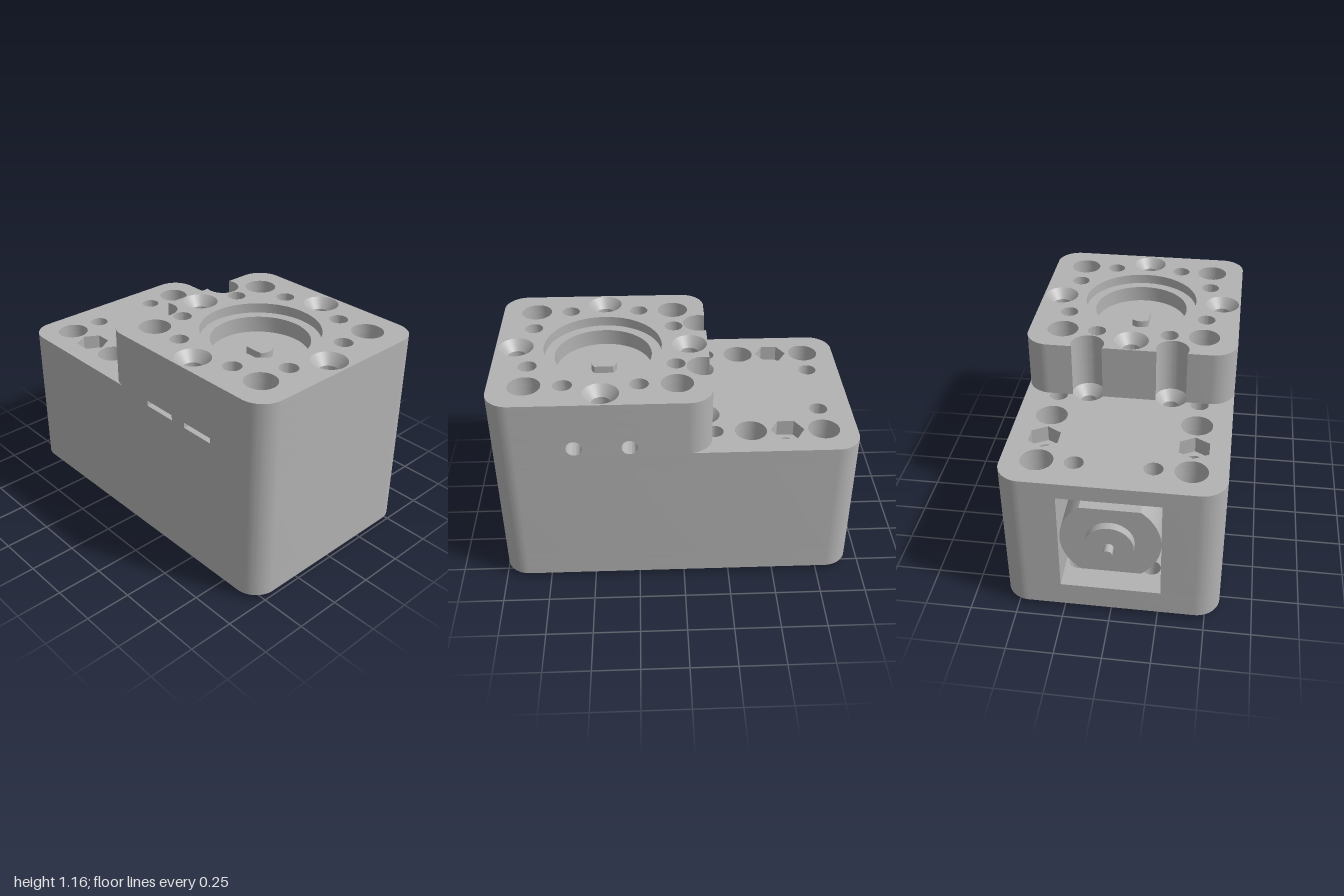
import * as THREE from 'three';
import { toCreasedNormals } from 'three/addons/utils/BufferGeometryUtils.js';

const grey = new THREE.MeshStandardMaterial({ color: 0xb2b2b2, side: THREE.DoubleSide });
grey.name = 'plain grey';

const LEFT = -0.93, RIGHT = 1, HALF = 0.575, CORNER = 0.13, STEP = -0.15;
const BORE_X = 0.42;

function add(group, name, geometry) {
  const mesh = new THREE.Mesh(geometry, grey);
  mesh.name = name;
  group.add(mesh);
  return mesh;
}

// Round or polygonal hole at plan position x, z
function hole(x, z, r, sides = 0) {
  if (!sides) return new THREE.Path().absarc(x, z, r, 0, Math.PI * 2, true);
  const pts = [];
  for (let i = 0; i < sides; i++) {
    const a = -i * Math.PI * 2 / sides;
    pts.push(new THREE.Vector2(x + r * Math.cos(a), z + r * Math.sin(a)));
  }
  return new THREE.Path(pts);
}

const pair = (x, z, r, sides) => [hole(x, z, r, sides), hole(x, -z, r, sides)];
const row = (xs, z, r) => xs.flatMap(x => pair(x, z, r));

// Rounded plan outline; shape y points to the back. Notches are cut from the edges.
function outline(x0, { grooves = false, pocket = false, front = [], back = [] } = {}) {
  const s = new THREE.Shape(), c = CORNER, h = HALF;
  s.moveTo(x0 + c, -h);
  for (const [a, b, depth] of front) {
    s.lineTo(a, -h); s.lineTo(a, -h + depth); s.lineTo(b, -h + depth); s.lineTo(b, -h);
  }
  s.lineTo(RIGHT - c, -h);
  s.absarc(RIGHT - c, -h + c, c, -Math.PI / 2, 0, false);
  s.lineTo(RIGHT, h - c);
  s.absarc(RIGHT - c, h - c, c, 0, Math.PI / 2, false);
  for (const [a, b, depth] of [...back].reverse()) {
    s.lineTo(b, h); s.lineTo(b, h - depth); s.lineTo(a, h - depth); s.lineTo(a, h);
  }
  s.lineTo(x0 + c, h);
  s.absarc(x0 + c, h - c, c, Math.PI / 2, Math.PI, false);
  if (grooves) {
    const a = Math.acos((STEP + 0.115) / 0.09);
    for (const z of [0.23, -0.23]) s.absarc(-0.115, z, 0.09, a, -a, true);
  }
  if (pocket) {
    s.lineTo(x0, 0.265); s.lineTo(-0.4, 0.265); s.lineTo(-0.4, -0.265); s.lineTo(x0, -0.265);
  }
  s.lineTo(x0, -h + c);
  s.absarc(x0 + c, -h + c, c, Math.PI, Math.PI * 1.5, false);
  return s;
}

function extrude(shape, depth) {
  const g = new THREE.ExtrudeGeometry(shape, { depth, bevelEnabled: false, curveSegments: 20 });
  return toCreasedNormals(g, 0.6);
}

function layer(group, name, shape, holes, y0, y1) {
  shape.holes.push(...holes);
  const g = extrude(shape, y1 - y0);
  g.rotateX(-Math.PI / 2);
  add(group, name, g).position.y = y0;
}

// Circle with two parallel flats
function flattened(r, flat) {
  const a = Math.asin(flat / r);
  const s = new THREE.Shape();
  s.absarc(0, 0, r, -a, a, false);
  s.absarc(0, 0, r, Math.PI - a, Math.PI + a, false);
  return s;
}

function countersink(group, x, z, top, rTop, rBottom, depth) {
  const g = new THREE.CylinderGeometry(rTop, rBottom, depth, 40, 1, true);
  add(group, 'countersink', g).position.set(x, top - depth / 2, z);
}

export function createModel() {
  const model = new THREE.Group();
  model.name = 'gearbox';

  // Lower housing, stacked from the underside up
  const lower = new THREE.Group();
  lower.name = 'lowerHousing';
  model.add(lower);
  const common = () => [
    ...row([-0.75, -0.36, 0.03, 0.81], 0.39, 0.085),
    ...row([-0.165, 0.225], 0.39, 0.05),
    ...pair(0.81, 0.2, 0.05),
  ];
  const narrow = () => row([-0.555, 0.615], 0.39, 0.05);
  const screw = r => pair(-0.115, 0.23, r);
  const shaftHole = () => hole(BORE_X, 0, 0.135);
  const nuts = () => [...pair(-0.555, 0.39, 0.09, 6), ...pair(0.615, 0.39, 0.05)];
  const slots = [[0.18, 0.375, 0.12], [0.47, 0.66, 0.12]];

  layer(lower, 'bottomPlate', outline(LEFT),
    [...common(), ...row([-0.555, 0.615], 0.39, 0.085), ...pair(-0.115, 0.23, 0.062, 6),
      ...pair(-0.75, 0.2, 0.05), shaftHole()], 0.03, 0.12);
  layer(lower, 'bottomInnerPlate', outline(LEFT),
    [...common(), ...narrow(), ...screw(0.045), ...pair(-0.75, 0.2, 0.05), shaftHole()], 0.12, 0.17);
  layer(lower, 'motorPocketWalls', outline(LEFT, { pocket: true }),
    [...common(), ...narrow(), ...screw(0.045), shaftHole()], 0.17, 0.766);
  layer(lower, 'pocketRoof', outline(LEFT),
    [...common(), ...nuts(), ...screw(0.045), ...pair(-0.75, 0.2, 0.05)], 0.766, 0.8);
  layer(lower, 'deckPlate', outline(LEFT),
    [...common(), ...nuts(), ...screw(0.09), ...pair(-0.75, 0.2, 0.05)], 0.8, 0.825);
  layer(lower, 'slottedDeck', outline(LEFT, { front: slots }),
    [...common(), ...nuts(), ...screw(0.09), ...pair(-0.75, 0.2, 0.05)], 0.825, 0.855);
  for (const z of [0.23, -0.23]) countersink(lower, -0.115, z, 0.855, 0.09, 0.045, 0.055);

  // Raised output housing
  const upper = new THREE.Group();
  upper.name = 'upperHousing';
  model.add(upper);
  const through = () => [
    ...row([0.03, 0.81], 0.39, 0.085),
    ...row([0.225, 0.615], 0.39, 0.05),
    ...pair(0.81, 0.2, 0.05),
  ];
  const seats = [[BORE_X, 0.47], [BORE_X, -0.47], [-0.05, 0], [0.89, 0]];
  const screws = r => seats.map(([x, z]) => hole(x, z, r));
  const blind = () => pair(0.03, 0.2, 0.05);
  const pinX = [0.28, 0.565];

  layer(upper, 'pinLayer',
    outline(STEP, { grooves: true, back: pinX.map(x => [x - 0.05, x + 0.05, 0.125]) }),
    through(), 0.855, 0.945);
  layer(upper, 'screwLayer', outline(STEP, { grooves: true }),
    [...through(), ...screws(0.05), ...blind()], 0.945, 1.02);
  layer(upper, 'boreLayer', outline(STEP, { grooves: true }),
    [...through(), ...screws(0.05), ...blind(), hole(BORE_X, 0, 0.265)], 1.02, 1.11);
  layer(upper, 'topPlate', outline(STEP, { grooves: true }),
    [...through(), ...screws(0.095), ...blind(), hole(BORE_X, 0, 0.32)], 1.11, 1.165);
  for (const [x, z] of seats) countersink(upper, x, z, 1.165, 0.095, 0.05, 0.055);

  // Round pin holes in the back wall
  for (const x of pinX) {
    const s = new THREE.Shape();
    s.moveTo(-0.05, -0.045); s.lineTo(0.05, -0.045); s.lineTo(0.05, 0.045); s.lineTo(-0.05, 0.045);
    s.holes.push(hole(0, 0, 0.042));
    add(upper, 'pinHole', extrude(s, 0.125)).position.set(x, 0.9, -HALF);
  }

  // Output shaft with two flats
  const shaft = extrude(flattened(0.07, 0.048), 1.06);
  shaft.rotateX(-Math.PI / 2);
  add(model, 'outputShaft', shaft).position.x = BORE_X;

  // Motor in the side pocket
  const motor = new THREE.Group();
  motor.name = 'motor';
  motor.position.y = 0.482;
  model.add(motor);
  const can = extrude(flattened(0.262, 0.21), 0.45);
  can.rotateY(Math.PI / 2);
  add(motor, 'motorCan', can).position.x = -0.9;
  const disc = (name, r, x0, x1) => {
    const g = new THREE.CylinderGeometry(r, r, x1 - x0, 40);
    g.rotateZ(Math.PI / 2);
    add(motor, name, g).position.x = (x0 + x1) / 2;
  };
  disc('motorBoss', 0.127, -0.945, -0.89);
  disc('motorShaft', 0.025, -1, -0.9);

  return model;
}
